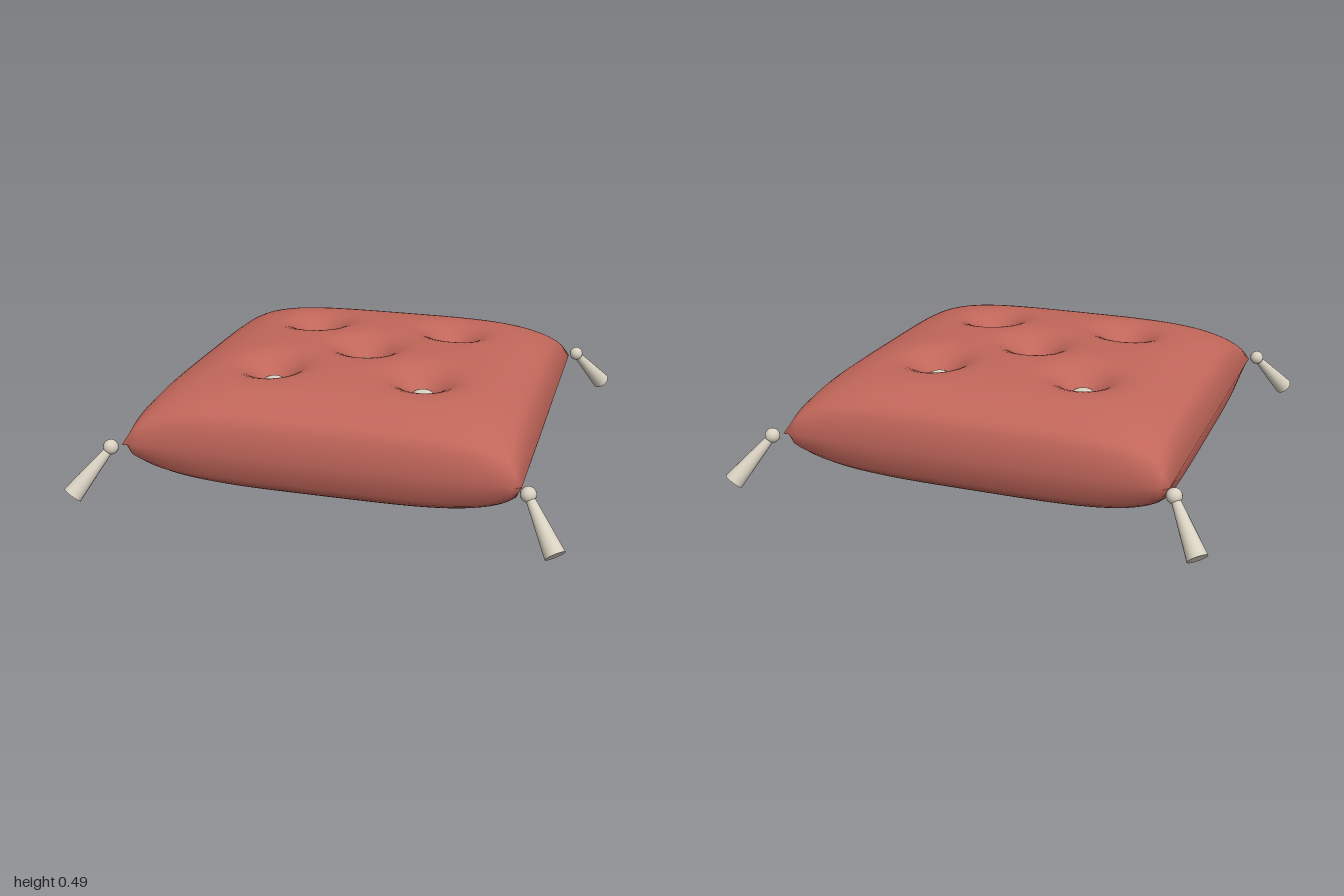
import * as THREE from 'three';
import { mergeGeometries, mergeVertices } from 'three/addons/utils/BufferGeometryUtils.js';

const HALF = 0.81;      // half width of the cushion
const MID = 0.245;      // height of the seam
const PUFF = 0.247;     // half thickness
const TUFT = 0.325;     // offset of the outer tufts
const tufts = [[0, 0], [-TUFT, -TUFT], [TUFT, -TUFT], [-TUFT, TUFT], [TUFT, TUFT]];

// Half thickness at a point: full in the middle, pinched at the seam, dimpled at tufts
function thickness(x, z) {
  const fall = (t) => Math.max(0, 1 - Math.pow(Math.abs(t) / HALF, 4));
  let h = PUFF * Math.pow(fall(x) * fall(z), 0.4);
  for (const [tx, tz] of tufts) {
    const d2 = (x - tx) ** 2 + (z - tz) ** 2;
    h -= 0.1 * Math.exp(-d2 / 0.0135) * (h / PUFF);
  }
  return h;
}

// One puffed face of the cushion, facing up (side = 1) or down (side = -1)
function puffedFace(side) {
  const g = new THREE.PlaneGeometry(HALF * 2, HALF * 2, 56, 56);
  g.rotateX(-side * Math.PI / 2);
  const p = g.attributes.position;
  for (let i = 0; i < p.count; i++) {
    p.setY(i, side * thickness(p.getX(i), p.getZ(i)));
  }
  g.deleteAttribute('uv');
  g.deleteAttribute('normal');
  return g;
}

export function createModel() {
  const model = new THREE.Group();
  model.name = 'cushion';
  const fabric = new THREE.MeshStandardMaterial({ color: 0xc1665a });
  fabric.name = 'terracotta fabric';
  const trim = new THREE.MeshStandardMaterial({ color: 0xd8d0c0 });
  trim.name = 'cream trim';

  const add = (parent, name, geometry, material, x, y, z) => {
    const mesh = new THREE.Mesh(geometry, material);
    mesh.name = name;
    mesh.position.set(x, y, z);
    parent.add(mesh);
    return mesh;
  };

  // Cushion body, welded along the seam so it shades smoothly
  const body = mergeVertices(mergeGeometries([puffedFace(1), puffedFace(-1)]), 1e-4);
  body.computeVertexNormals();
  add(model, 'cushionBody', body, fabric, 0, MID, 0);

  // Buttons sunk into the tufts on both faces
  const button = new THREE.SphereGeometry(0.046, 20, 12);
  button.scale(1, 0.5, 1);
  for (const side of [1, -1]) {
    for (const [x, z] of tufts) {
      add(model, side > 0 ? 'topButton' : 'bottomButton', button, trim,
        x, MID + side * (thickness(x, z) + 0.006), z);
    }
  }

  // Corner tassels: a knot and a flared skirt hanging outwards
  const knot = new THREE.SphereGeometry(0.031, 20, 14);
  for (const sx of [1, -1]) {
    for (const sz of [1, -1]) {
      const tassel = new THREE.Group();
      tassel.name = 'tassel';
      add(tassel, 'tasselKnot', knot, trim, sx * 0.842, MID, sz * 0.842);
      const top = new THREE.Vector3(sx * 0.847, 0.236, sz * 0.847);
      const end = new THREE.Vector3(sx * 0.964, 0.071, sz * 0.964);
      const skirt = new THREE.CylinderGeometry(0.017, 0.041, top.distanceTo(end), 20);
      const mid = top.clone().lerp(end, 0.5);
      const mesh = add(tassel, 'tasselSkirt', skirt, trim, mid.x, mid.y, mid.z);
      mesh.quaternion.setFromUnitVectors(new THREE.Vector3(0, 1, 0), top.clone().sub(end).normalize());
      model.add(tassel);
    }
  }
  return model;
}
